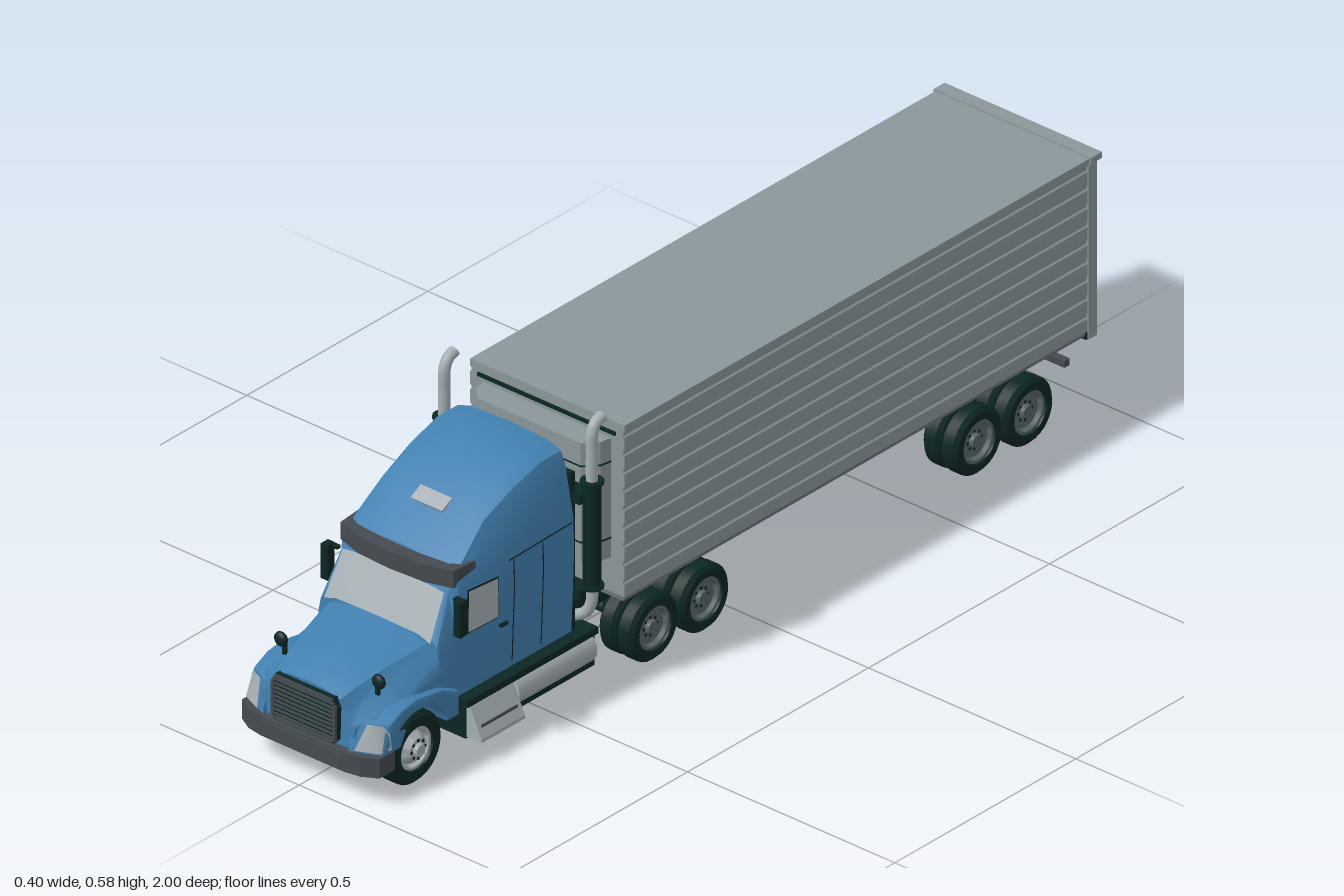
import * as THREE from 'three';
import { mergeVertices, toCreasedNormals } from 'three/addons/utils/BufferGeometryUtils.js';

const paint = (name, color, side = THREE.FrontSide) => {
  const m = new THREE.MeshStandardMaterial({ color, side });
  m.name = name;
  return m;
};

export function createModel() {
  const blue = paint('cab blue', 0x417faf);
  const grey = paint('trailer grey', 0x8b979b);
  const light = paint('bright metal and glass', 0xa5aeb3, THREE.DoubleSide);
  const dark = paint('chassis dark green', 0x0c2624, THREE.DoubleSide);
  const trim = paint('dark grey trim', 0x444a4f);
  const rimGrey = paint('wheel rim grey', 0x5a6568);
  const floorGrey = paint('trailer floor grey', 0x6c7376);
  const model = new THREE.Group();
  model.name = 'semiTruck';

  const add = (name, geo, mat, x = 0, y = 0, z = 0) => {
    const m = new THREE.Mesh(geo, mat);
    m.name = name;
    m.position.set(x, y, z);
    model.add(m);
    return m;
  };
  // Box given by its extents
  const box = (name, mat, x0, x1, y0, y1, z0, z1) => add(name,
    new THREE.BoxGeometry(Math.abs(x1 - x0), y1 - y0, z1 - z0), mat, (x0 + x1) / 2, (y0 + y1) / 2, (z0 + z1) / 2);
  const mirrored = fn => [1, -1].forEach(fn);
  const poly = pts => new THREE.Shape(pts.map(p => new THREE.Vector2(...p)));
  // Thin sheet between two rows of points
  const sheet = (name, mat, low, high) => {
    const idx = [], n = low.length;
    for (let i = 0; i < n - 1; i++) idx.push(i, i + 1, n + i, i + 1, n + i + 1, n + i);
    const g = new THREE.BufferGeometry();
    g.setAttribute('position', new THREE.Float32BufferAttribute(low.concat(high).flat(), 3));
    g.setIndex(idx);
    g.computeVertexNormals();
    return add(name, g, mat);
  };
  // Skin over mirrored half outlines [z, points from bottom edge to top centre]
  const loft = (name, mat, sections) => {
    const pos = [], idx = [], n = sections[0][1].length * 2 - 1;
    for (const [z, half] of sections) {
      const ring = half.concat(half.slice(0, -1).reverse().map(([x, y]) => [-x, y]));
      ring.forEach(([x, y]) => pos.push(x, y, z));
    }
    const last = sections.length - 1, c = (last + 1) * n;
    for (const s of [0, last]) pos.push(0, sections[s][1][0][1] + 0.01, sections[s][0]);
    for (let j = 0; j < n; j++) {
      const k = (j + 1) % n;
      for (let i = 0; i < last; i++) {
        const a = i * n + j, b = i * n + k;
        idx.push(a, b, a + n, b, b + n, a + n);
      }
      idx.push(c, k, j, c + 1, last * n + j, last * n + k);
    }
    const g = new THREE.BufferGeometry();
    g.setAttribute('position', new THREE.Float32BufferAttribute(pos, 3));
    g.setIndex(idx);
    return add(name, toCreasedNormals(g, 0.5), mat);
  };
  // Plan outline [x, z] raised from y0 by height h
  const slab = (name, mat, pts, y0, h) => add(name,
    new THREE.ExtrudeGeometry(poly(pts.map(([x, z]) => [x, -z])), { depth: h, bevelEnabled: false }).rotateX(-Math.PI / 2), mat, 0, y0, 0);
  const rod = (name, mat, r, h, x, y, z, seg = 16) => add(name, new THREE.CylinderGeometry(r, r, h, seg), mat, x, y, z);

  // Sleeper cab with sloping roof fairing
  const rear = [[.15, .125], [.157, .3], [.155, .37], [.138, .465], [.125, .498], [.095, .509], [0, .513]];
  loft('cab', blue, [
    [.42, rear], [.475, rear],
    [.55, [[.15, .125], [.157, .3], [.154, .365], [.137, .445], [.124, .477], [.094, .486], [0, .484]]],
    [.63, [[.15, .125], [.157, .3], [.152, .355], [.136, .415], [.122, .442], [.092, .449], [0, .442]]],
    [.72, [[.15, .125], [.15, .26], [.14, .345], [.137, .355], [.132, .37], [.11, .38], [0, .388]]],
    [.735, [[.15, .125], [.148, .25], [.13, .33], [.128, .335], [.125, .338], [.1, .345], [0, .348]]],
    [.78, [[.15, .125], [.145, .22], [.14, .245], [.135, .25], [.13, .255], [.1, .262], [0, .264]]],
  ]);
  sheet('windshield', light,
    [[-.128, .252, .785], [-.1, .262, .785], [0, .264, .785], [.1, .262, .785], [.128, .252, .785]],
    [[-.122, .338, .74], [-.1, .342, .741], [0, .345, .741], [.1, .342, .741], [.122, .338, .74]]);
  slab('sunVisor', trim, [[-.141, .675], [-.136, .73], [-.08, .747], [0, .752], [.08, .747], [.136, .73], [.141, .675]], .348, .036);
  const lamp = box('roofPlate', light, -.038, .038, -.016, .016, -.004, .004);
  lamp.position.set(0, .442, .633);
  lamp.rotation.x = -1.05;

  // Hood
  loft('hood', blue, [
    [.76, [[.15, .16], [.15, .2], [.138, .23], [.12, .25], [.06, .262], [0, .265]]],
    [.87, [[.15, .15], [.148, .18], [.12, .205], [.1, .232], [.05, .243], [0, .245]]],
    [.94, [[.14, .14], [.134, .168], [.1, .188], [.086, .213], [.045, .225], [0, .227]]],
    [.975, [[.112, .12], [.104, .15], [.09, .17], [.078, .2], [.04, .208], [0, .21]]],
  ]);
  box('noseLower', blue, -.112, .112, .098, .15, .935, .974);
  box('engineBay', dark, -.085, .085, .07, .16, .74, .96);
  box('underPan', dark, -.11, .11, .062, .07, .76, .975);

  // Grille with horizontal bars
  const grille = poly([[-.07, .108], [.07, .108], [.078, .118], [.08, .185], [.07, .203], [-.07, .203], [-.08, .185], [-.078, .118]]);
  add('grille', new THREE.ExtrudeGeometry(grille, { depth: .025, bevelEnabled: false }), dark, 0, 0, .96);
  for (let i = 0; i < 9; i++) box('grilleBar', trim, -.072, .072, .118 + i * .009, .122 + i * .009, .98, .988);
  mirrored(s => box('grilleFrame', trim, s * .072, s * .078, .116, .19, .98, .99));
  for (const y of [.109, .196]) box('grilleFrame', trim, -.07, .07, y, y + .006, .98, .99);

  // Bumper
  slab('bumper', trim, [[-.166, .925], [-.166, .968], [-.135, .986], [-.1, .992], [.1, .992], [.135, .986], [.166, .968], [.166, .925]], .064, .04);
  slab('bumperCentre', trim, [[-.09, .98], [-.1, .998], [.1, .998], [.09, .98]], .074, .026);

  // Front fender profile around the wheel; outer front corners sweep back
  const sweep = (x, z) => z - (z > .92 ? Math.max(0, Math.abs(x) - .1) * .45 : 0);
  const arch = poly([[.745, .1], [.745, .15], [.79, .172], [.86, .184], [.93, .178], [.967, .16], [.984, .115], [.984, .1], [.935, .1]]);
  arch.absarc(.855, .075, .082, .31, Math.PI - .31, false);

  mirrored(s => {
    const fender = new THREE.ExtrudeGeometry(arch, { depth: .052, bevelSize: .006, bevelThickness: .006, bevelSegments: 2, bevelOffset: -.006 });
    fender.rotateY(-Math.PI / 2).translate(.026 + s * .133, 0, 0);
    const p = fender.attributes.position;
    for (let i = 0; i < p.count; i++) p.setZ(i, sweep(p.getX(i), p.getZ(i)));
    fender.deleteAttribute('normal');
    fender.deleteAttribute('uv');
    add('frontFender', toCreasedNormals(mergeVertices(fender, 1e-5), .6), blue);
    const hl = (x, y, z) => [s * x, y, sweep(x, z) + .004];
    sheet('headlight', light, [hl(.117, .11, .986), hl(.161, .11, .986), [s * .167, .11, .935]],
      [hl(.129, .16, .969), hl(.157, .16, .969), [s * .167, .145, .94]]);

    // Mirrors, side windows and panel seams
    box('doorMirror', dark, s * .152, s * .168, .262, .335, .728, .748);
    box('mirrorArm', dark, s * .14, s * .16, .326, .332, .725, .735);
    add('hoodMirror', new THREE.SphereGeometry(.015, 16, 12), dark, s * .118, .226, .915).scale.z = .6;
    box('hoodMirrorStalk', dark, s * .108, s * .116, .195, .22, .908, .914);
    const win = (nm, mat, o, e) => sheet(nm, mat, [[s * (.158 + o), .255 - e, .632 - e], [s * (.155 + o), .255 - e, .712 + e]],
      [[s * (.157 + o), .335 + e, .632 - e], [s * (.149 + o), .335 + e, .703 + e]]);
    win('windowTrim', dark, 0, .003);
    win('sideWindow', light, .0015, 0);
    for (const z of [.505, .585]) sheet('panelSeam', dark, [[s * .1525, .14, z], [s * .1585, .3, z], [s * .157, .355, z]],
      [[s * .1525, .14, z + .003], [s * .1585, .3, z + .003], [s * .157, .355, z + .003]]);
    box('doorHandle', dark, s * .153, s * .16, .228, .234, .605, .625);
    sheet('roofSeam', dark, [[s * .157, .36, .425], [s * .157, .356, .6]], [[s * .157, .363, .425], [s * .157, .359, .6]]);

    // Side skirt, fuel tank, dark undertray and entry step
    box('sideSkirt', dark, s * .08, s * .176, .114, .128, .375, .735);
    box('undertray', dark, s * .085, s * .164, .042, .116, .372, .728);
    rod('fuelTank', light, .035, .215, s * .145, .083, .49, 24).rotation.x = Math.PI / 2;
    const step = add('entryStep', new THREE.ExtrudeGeometry(poly([[.16, .045], [.2, .045], [.2, .052], [.172, .11], [.16, .11]]),
      { depth: .12, bevelEnabled: false }), light, 0, 0, .605);
    if (s < 0) { step.rotation.y = Math.PI; step.position.z = .725; }
    box('stepTread', trim, s * .186, s * .192, .07, .075, .615, .715);

    // Exhaust stack
    const tube = (pts, r) => new THREE.TubeGeometry(new THREE.CatmullRomCurve3(pts.map(q => new THREE.Vector3(s * q[0], q[1], q[2]))), 20, r, 14);
    add('exhaustPipe', tube([[.178, .43, .395], [.178, .5, .395], [.178, .545, .394], [.178, .562, .385], [.178, .569, .367]], .0115), light);
    add('exhaustElbow', tube([[.178, .23, .395], [.177, .19, .395], [.165, .165, .397], [.12, .14, .4]], .011), light);
    rod('muffler', dark, .0175, .22, s * .178, .333, .395);
    for (const y of [.225, .443]) rod('mufflerRing', dark, .0225, .006, s * .178, y, .395);

    // Frame rails
    box('frameRail', dark, s * .07, s * .09, .1, .135, -.88, .78);
    box('trailerSuspension', dark, s * .065, s * .095, .13, .16, -.87, -.56);
    for (const z of [-.73, .165]) box('springBeam', dark, s * .09, s * .105, .07, .1, z - .1, z + .1);
  });
  for (const y of [.2, .4]) box('stackBracket', dark, -.17, .17, y, y + .02, .385, .42);
  box('cabBackPanel', dark, -.15, .15, .13, .46, .41, .421);
  for (const z of [-.87, -.73, -.59, .3, .55]) box('crossMember', dark, -.075, .075, .105, .128, z - .012, z + .012);
  slab('fifthWheel', dark, [[-.09, .08], [.09, .08], [.07, .23], [-.07, .23]], .135, .026);
  add('oilPan', new THREE.SphereGeometry(.03, 16, 10), dark, 0, .07, .85);
  box('cabFloor', dark, -.14, .14, .112, .126, .42, .77);

  // Wheels: lathed tyre and dished rim
  const lathe = pts => toCreasedNormals(new THREE.LatheGeometry(pts.map(p => new THREE.Vector2(...p)), 28).rotateZ(-Math.PI / 2), .6);
  const wheel = (s, x, z, w, r, front) => {
    const g = new THREE.Group(), h = w / 2;
    g.name = front ? 'frontWheel' : 'rearWheel';
    const tyre = new THREE.Mesh(lathe([[.043, -h], [r - .008, -h], [r, -h + .008], [r, h - .008], [r - .008, h], [.045, h], [.043, h - .006], [.043, -h]]), dark);
    const d = front ? h + .002 : h - .014;
    const rim = new THREE.Mesh(lathe([[.0435, -h + .004], [.0435, h - .004], [.038, h - .004], [.034, h - .012], [.022, d], [.014, d], [.012, d + .008], [0, d + .008]]), front ? light : rimGrey);
    tyre.name = 'tyre';
    rim.name = 'rim';
    g.add(tyre, rim);
    for (let i = 0; i < 8; i++) {
      const a = i * Math.PI / 4, nut = new THREE.Mesh(new THREE.BoxGeometry(.004, .005, .005), dark);
      nut.name = 'wheelNut';
      nut.position.set(d, Math.cos(a) * .0185, Math.sin(a) * .0185);
      g.add(nut);
    }
    g.position.set(s * x, r + .001, z);
    if (s < 0) g.rotation.y = Math.PI;
    model.add(g);
  };
  mirrored(s => {
    wheel(s, .135, .855, .046, .073, true);
    for (const z of [.235, .095, -.66, -.8]) for (const x of [.129, .172]) wheel(s, x, z, .04, .068, false);
  });
  for (const z of [.855, .235, .095, -.66, -.8]) rod('axle', dark, .013, .25, 0, .07, z).rotation.z = Math.PI / 2;
  for (const z of [.235, .095]) add('differential', new THREE.SphereGeometry(.03, 14, 10), dark, 0, .07, z);

  // Trailer body with shallow ribbed sides
  const side = [];
  for (let i = 0; i < 9; i++) {
    const y = .166 + i * .0385;
    side.push([.186, y], [.186, y + .027], [.183, y + .03], [.183, y + .0355]);
  }
  side.push([.186, .5125], [.186, .527]);
  const outline = side.concat(side.map(([x, y]) => [-x, y]).reverse());
  add('trailerBody', new THREE.ExtrudeGeometry(poly(outline), { depth: 1.293, bevelEnabled: false }), grey, 0, 0, -.978);
  box('trailerFloor', floorGrey, -.184, .184, .158, .167, -.978, .315);
  box('rearRoofLip', grey, -.19, .19, .517, .53, -1, -.97);
  slab('coolingUnit', grey, [[-.155, .31], [-.15, .34], [-.125, .366], [.125, .366], [.15, .34], [.155, .31]], .24, .25);
  for (const y of [.28, .44]) slab('coolingUnitSeam', dark, [[-.156, .313], [-.151, .341], [-.126, .367], [.126, .367], [.151, .341], [.156, .313]], y, .003);
  box('frontTopStrip', dark, -.166, .166, .5, .507, .314, .319);

  // Rear doors, lock rods, hinges and underride guard
  mirrored(s => {
    box('rearDoor', grey, s * .002, s * .172, .18, .508, -.984, -.976);
    box('rearPost', grey, s * .174, s * .188, .15, .515, -.988, -.965);
    for (const x of [.045, .1]) {
      rod('lockRod', light, .003, .33, s * x, .343, -.988, 8);
      for (const y of [.195, .27, .495]) box('rodBracket', dark, s * (x - .005), s * (x + .005), y - .003, y + .003, -.992, -.982);
    }
    for (const y of [.21, .3, .39, .48]) box('hinge', dark, s * .155, s * .178, y - .0035, y + .0035, -.99, -.982);
    box('guardPost', dark, s * .055, s * .067, .07, .16, -.98, -.968);
    box('tailLamp', trim, s * .12, s * .165, .156, .17, -.99, -.984);
  });
  box('doorGap', dark, -.002, .002, .18, .508, -.983, -.977);
  box('rearSill', dark, -.186, .186, .15, .178, -.985, -.96);
  box('underrideBar', trim, -.125, .125, .064, .078, -.985, -.97);
  return model;
}
